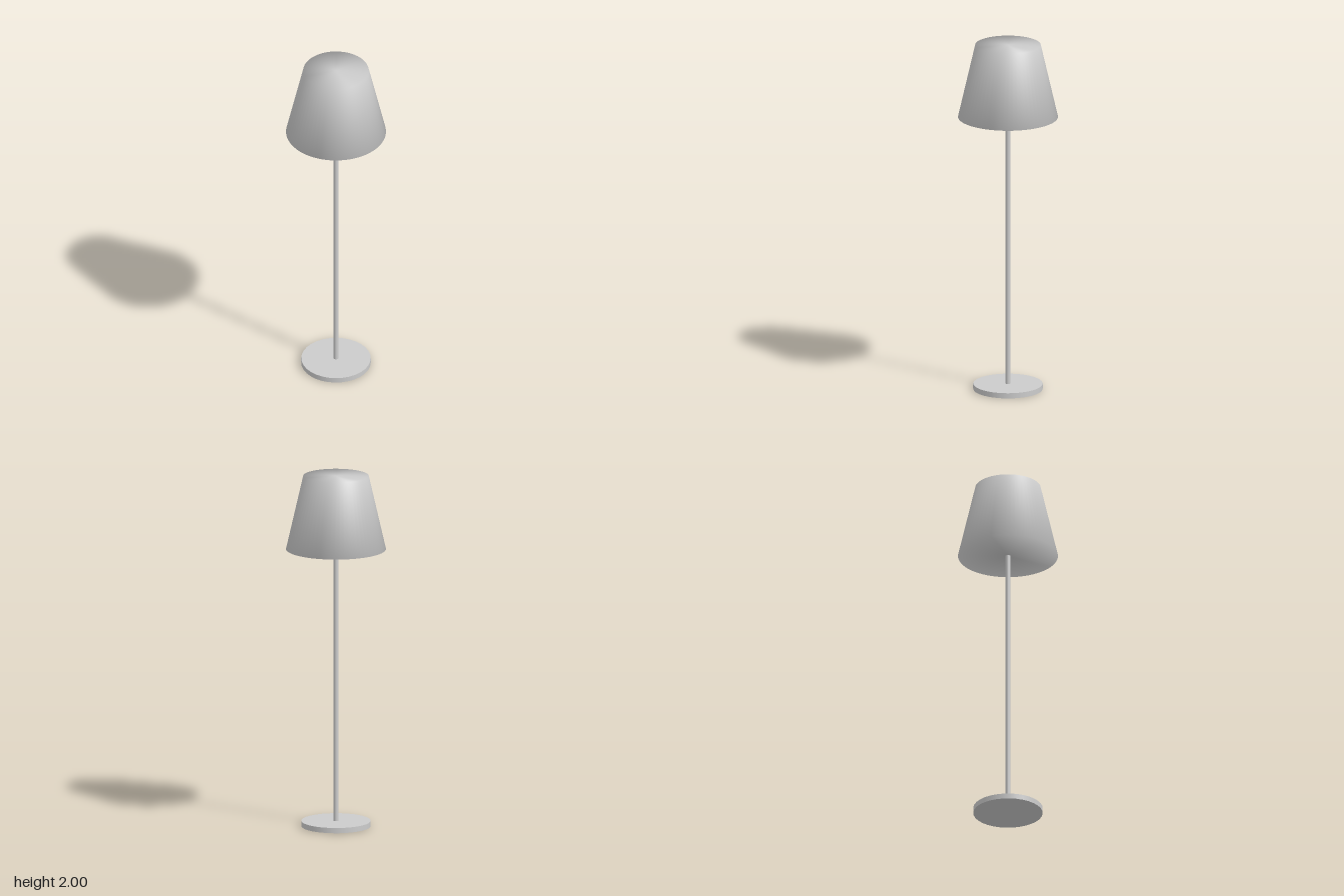
import * as THREE from 'three';
import { mergeVertices } from 'three/addons/utils/BufferGeometryUtils.js';

export function createModel() {
  const group = new THREE.Group();
  group.name = 'floorLamp';

  const grey = new THREE.MeshStandardMaterial({ color: 0xcccccc });
  grey.name = 'light grey';

  // Upright round part spanning y0..y1
  function round(rTop, rBottom, y0, y1, sides) {
    const geometry = new THREE.CylinderGeometry(rTop, rBottom, y1 - y0, sides);
    geometry.translate(0, (y0 + y1) / 2, 0);
    return geometry;
  }

  // Weld the caps to the side so shading runs smoothly over the rims
  function smoothAll(geometry) {
    geometry.deleteAttribute('normal');
    geometry.deleteAttribute('uv');
    const welded = mergeVertices(geometry, 1e-4);
    welded.computeVertexNormals();
    return welded;
  }

  function add(name, geometry) {
    const mesh = new THREE.Mesh(geometry, grey);
    mesh.name = name;
    group.add(mesh);
  }

  // Flat disc foot
  add('base', round(0.194, 0.194, 0, 0.03, 32));
  // Slim pole from the foot up to the shade
  add('pole', round(0.0135, 0.0135, 0.03, 1.6, 24));
  // Closed tapered shade
  add('shade', smoothAll(round(0.183, 0.279, 1.582, 2, 64)));

  return group;
}
